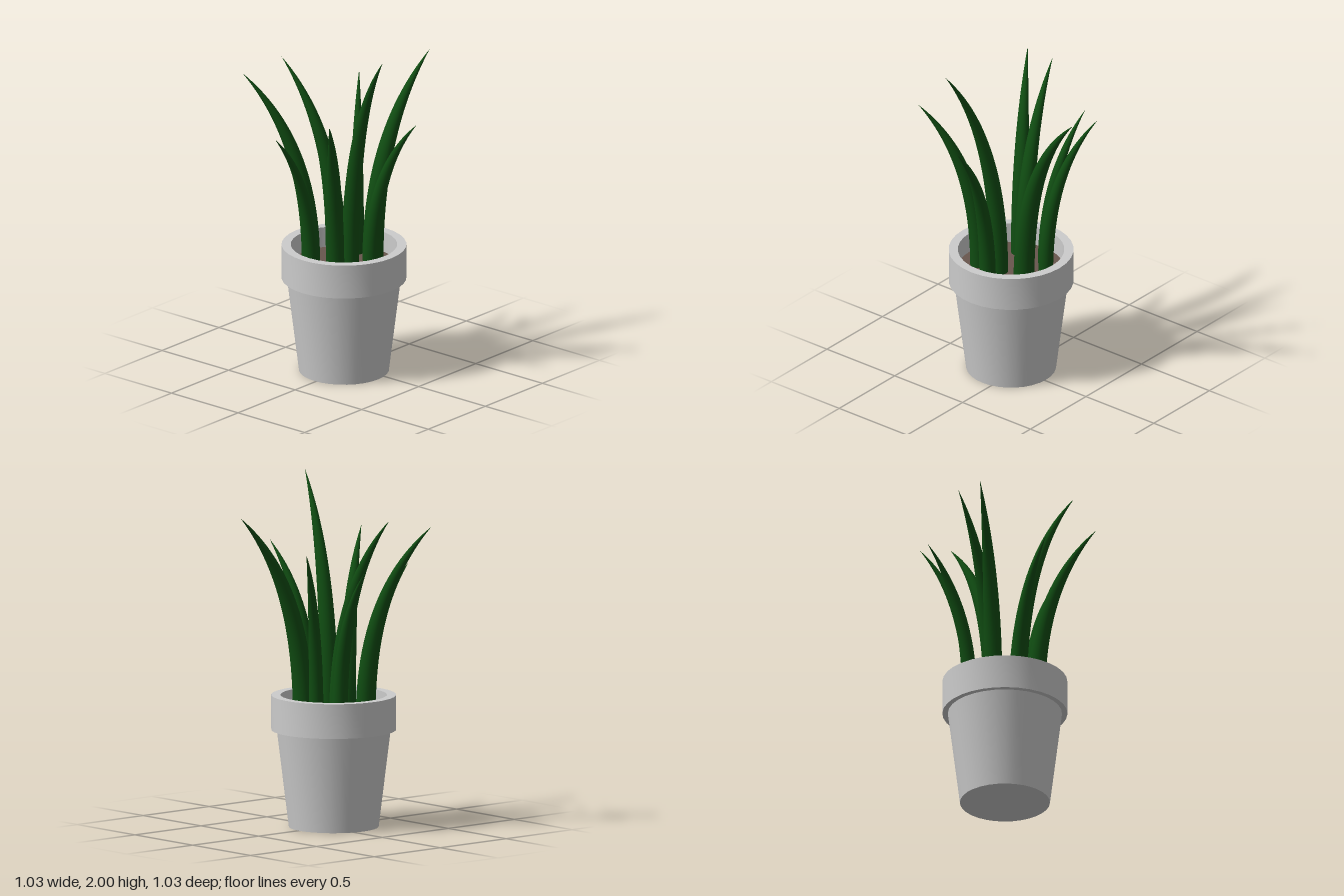
import * as THREE from 'three';
import { toCreasedNormals } from 'three/addons/utils/BufferGeometryUtils.js';

const SOIL_Y = 0.64;
const POT_X = -0.06, POT_Z = -0.01;

// Tube that starts upright, arches outwards and tapers to a point
function leafGeometry([x, z, radius, tipX, tipY, tipZ]) {
  const steps = 28, sides = 18;
  const curve = new THREE.QuadraticBezierCurve3(
    new THREE.Vector3(x, SOIL_Y - 0.01, z),
    new THREE.Vector3(x, SOIL_Y + 0.65 * (tipY - SOIL_Y), z),
    new THREE.Vector3(tipX, tipY, tipZ));
  const geometry = new THREE.TubeGeometry(curve, steps, radius, sides);
  const position = geometry.attributes.position;
  const v = new THREE.Vector3();
  for (let i = 0; i <= steps; i++) {
    const t = curve.getUtoTmapping(i / steps);
    const centre = curve.getPoint(t);
    for (let j = 0; j <= sides; j++) {
      const k = i * (sides + 1) + j;
      v.fromBufferAttribute(position, k).sub(centre).multiplyScalar(1 - t * t).add(centre);
      position.setXYZ(k, v.x, v.y, v.z);
    }
  }
  return geometry;
}

export function createModel() {
  const group = new THREE.Group();
  const grey = new THREE.MeshStandardMaterial({ color: 0xcccccc });
  const brown = new THREE.MeshStandardMaterial({ color: 0x68564d });
  const green = new THREE.MeshStandardMaterial({ color: 0x104d12 });

  // Pot: closed base, tapered wall, overhanging rim and inner wall
  const profile = [
    [0, 0], [0.257, 0], [0.326, 0.56], [0.357, 0.56],
    [0.357, 0.76], [0.304, 0.76], [0.304, SOIL_Y - 0.02],
  ].map(([r, y]) => new THREE.Vector2(r, y));
  const pot = new THREE.Mesh(toCreasedNormals(new THREE.LatheGeometry(profile, 32), 0.6), grey);
  pot.name = 'pot';
  pot.position.set(POT_X, 0, POT_Z);
  group.add(pot);

  // Soil disc
  const soil = new THREE.Mesh(new THREE.CircleGeometry(0.304, 32), brown);
  soil.name = 'soil';
  soil.rotation.x = -Math.PI / 2;
  soil.position.set(POT_X, SOIL_Y, POT_Z);
  group.add(soil);

  // Leaves: base x, base z, radius, tip x, tip y, tip z
  const leaves = [
    [-0.14, -0.19, 0.053, -0.355, 1.76, -0.52],
    [-0.03, -0.085, 0.053, -0.105, 1.81, -0.44],
    [0.05, -0.185, 0.043, 0.11, 1.53, -0.47],
    [0.136, -0.083, 0.042, 0.37, 1.64, -0.265],
    [-0.245, -0.1, 0.041, -0.512, 1.49, -0.14],
    [-0.23, 0.07, 0.052, -0.515, 1.66, 0.27],
    [-0.09, 0.062, 0.052, -0.205, 2, 0.405],
    [-0.065, 0.195, 0.047, -0.03, 1.6, 0.51],
    [0.1, 0.07, 0.06, 0.515, 1.82, 0.14],
  ];
  leaves.forEach((spec, i) => {
    const leaf = new THREE.Mesh(leafGeometry(spec), green);
    leaf.name = `leaf${i + 1}`;
    group.add(leaf);
  });
  return group;
}
